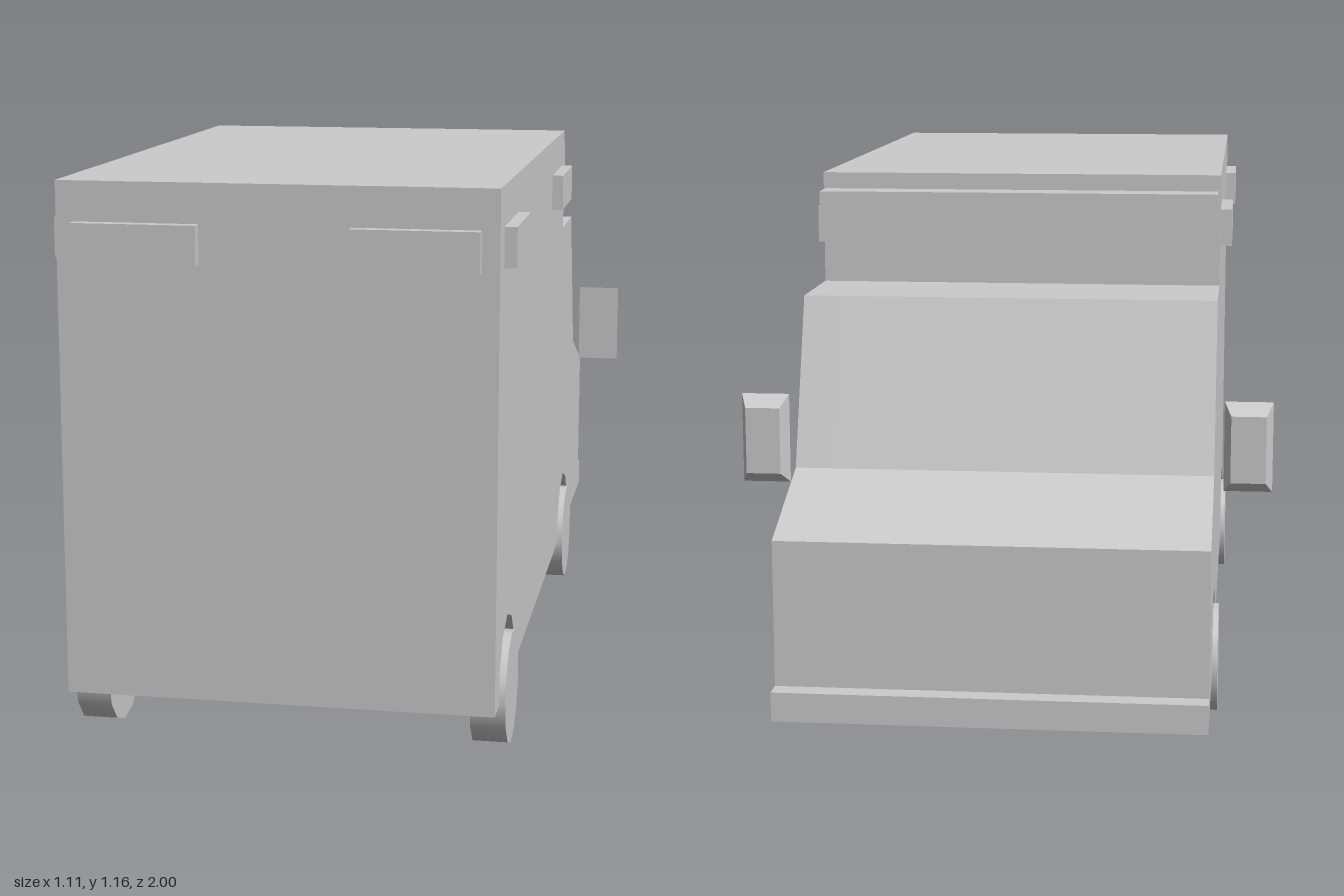
import * as THREE from 'three';

const HALF = 0.435, WELL = 0.36, FLOOR = 0.12;
const AXLES = [0.775, -0.467];

export function createModel() {
  const model = new THREE.Group();
  const mat = new THREE.MeshStandardMaterial({ color: 0xcccccc, flatShading: true });
  const smooth = new THREE.MeshStandardMaterial({ color: 0xcccccc });

  const add = (name, geo, x = 0, y = 0, z = 0, material = mat) => {
    const mesh = new THREE.Mesh(geo, material);
    mesh.name = name;
    mesh.position.set(x, y, z);
    model.add(mesh);
    return mesh;
  };
  const box = (name, w, h, d, x, y, z) => add(name, new THREE.BoxGeometry(w, h, d), x, y, z);

  // Side profile as [z, y]; the cab and bonnet point to -z
  const profile = [
    [-1, FLOOR], [-1, 0.18], [-0.957, 0.18], [-0.957, 0.48], [-0.71, 0.575],
    [-0.587, 0.92], [-0.35, 0.92], [-0.35, 1.16], [0.975, 1.16], [0.975, FLOOR],
  ];
  // Faceted wheel arch, cut out of the lower edge
  const arch = [[0.133, 0], [0.125, 0.07], [0.077, 0.125], [0, 0.15],
    [-0.077, 0.125], [-0.125, 0.07], [-0.133, 0]];
  const arches = AXLES.flatMap((z) => arch.map(([dz, dy]) => [z + dz, FLOOR + dy]));

  // Extrude a [z, y] outline across x
  const slab = (name, points, x0, x1) => {
    const shape = new THREE.Shape(points.map(([z, y]) => new THREE.Vector2(-z, y)));
    const geo = new THREE.ExtrudeGeometry(shape, { depth: x1 - x0, bevelEnabled: false });
    geo.rotateY(Math.PI / 2);
    add(name, geo, x0);
  };
  slab('bodyCore', profile, -WELL, WELL);
  slab('bodySideLeft', [...profile, ...arches], WELL, HALF);
  slab('bodySideRight', [...profile, ...arches], -HALF, -WELL);

  // Wheels and axles
  const wheelGeo = new THREE.CylinderGeometry(0.117, 0.117, 0.072, 13).rotateZ(Math.PI / 2);
  for (const z of AXLES) {
    box('axle', 0.78, 0.06, 0.06, 0, 0.115, z);
    for (const s of [-1, 1]) add('wheel', wheelGeo, s * 0.41, 0.117, z, smooth);
  }

  // Roof-edge lights
  box('frontLightBar', 0.86, 0.075, 0.075, 0, 1.0875, -0.3875);
  for (const s of [-1, 1]) {
    box('rearLight', 0.25, 0.08, 0.025, s * 0.275, 1.04, 0.9875);
    for (const z of [0.79, -0.17]) box('sideLight', 0.025, 0.08, 0.24, s * 0.4475, 1.04, z);

    // Mirror: a box tapering towards the front of the cab
    const geo = new THREE.BoxGeometry(0.1, 0.188, 0.036);
    const p = geo.attributes.position;
    for (let i = 0; i < p.count; i++) {
      if (p.getZ(i) < 0) p.setXY(i, p.getX(i) * 0.72, p.getY(i) * 0.74);
    }
    geo.computeVertexNormals();
    add('wingMirror', geo, s * 0.504, 0.63, -0.69);
  }
  return model;
}
